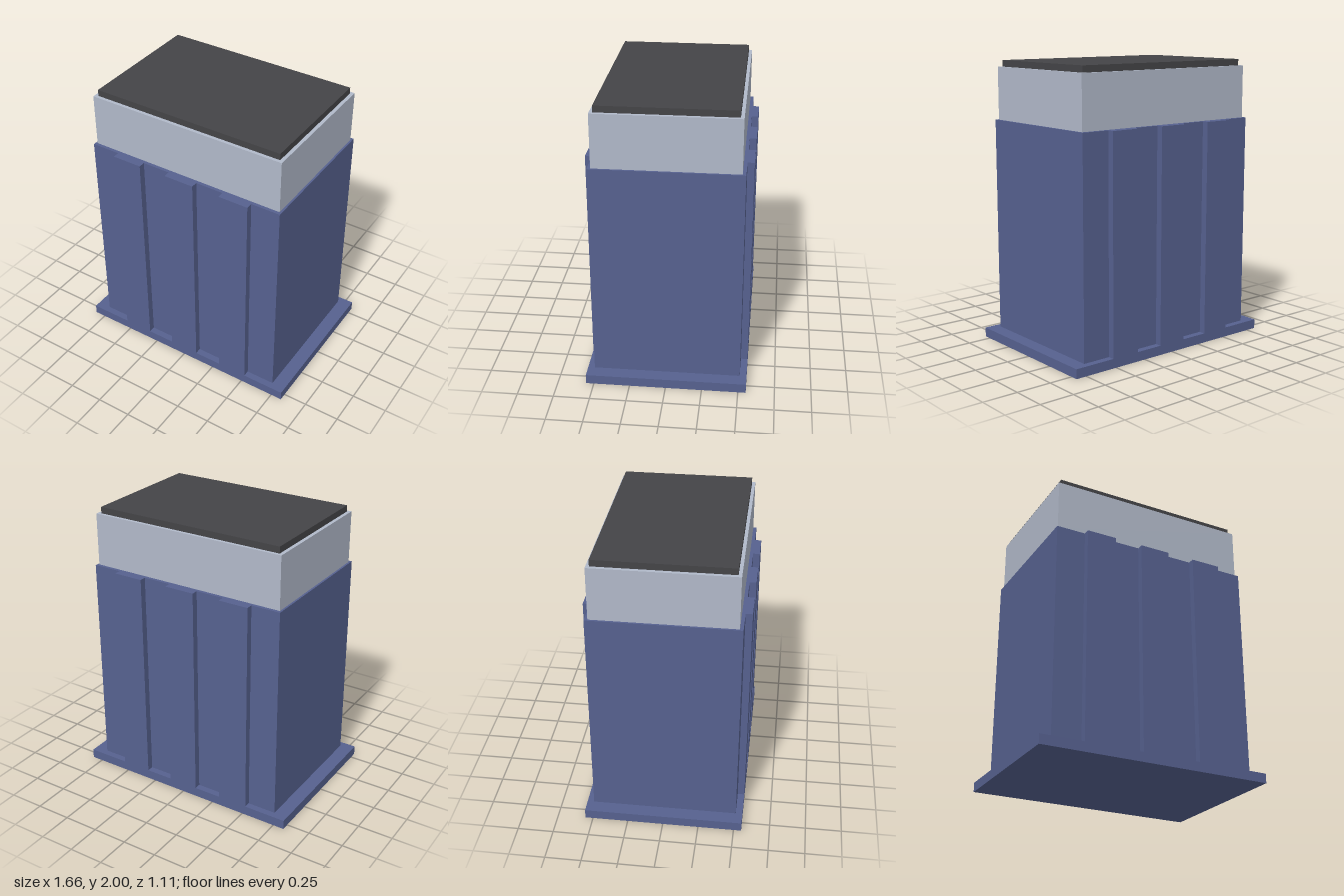
import * as THREE from 'three';

export function createModel() {
  const group = new THREE.Group();
  const blue = new THREE.MeshStandardMaterial({ name: 'slate blue', color: 0x56618f });
  const grey = new THREE.MeshStandardMaterial({ name: 'pale grey', color: 0xb1b9c9 });
  const dark = new THREE.MeshStandardMaterial({ name: 'charcoal', color: 0x444447 });

  function box(name, w, d, y0, y1, material) {
    const mesh = new THREE.Mesh(new THREE.BoxGeometry(w, y1 - y0, d), material);
    mesh.name = name;
    mesh.position.y = (y0 + y1) / 2;
    group.add(mesh);
  }

  const plinthTop = 0.067, bodyTop = 1.585, bandTop = 1.955;
  const halfWidth = 0.732, wallZ = 0.507, ribZ = 0.554;

  box('basePlinth', 1.66, ribZ * 2, 0, plinthTop, blue);

  // Body: plan outline with three raised ribs on the front and back
  const ribs = [[-0.525, -0.31], [-0.109, 0.109], [0.31, 0.525]];
  const edge = [[-halfWidth, wallZ]];
  for (const [a, b] of ribs) edge.push([a, wallZ], [a, ribZ], [b, ribZ], [b, wallZ]);
  edge.push([halfWidth, wallZ]);
  const outline = [...edge, ...edge.map(([x, z]) => [-x, -z])];
  const shape = new THREE.Shape(outline.map(([x, z]) => new THREE.Vector2(x, z)));
  const bodyGeometry = new THREE.ExtrudeGeometry(shape, { depth: bodyTop - plinthTop, bevelEnabled: false });
  bodyGeometry.rotateX(-Math.PI / 2);
  const body = new THREE.Mesh(bodyGeometry, blue);
  body.name = 'ribbedBody';
  body.position.y = plinthTop;
  group.add(body);

  // Stepped top
  box('upperBand', 1.436, 0.968, bodyTop, bandTop, grey);
  box('roofCap', 1.386, 0.922, bandTop, 2, dark);

  return group;
}
